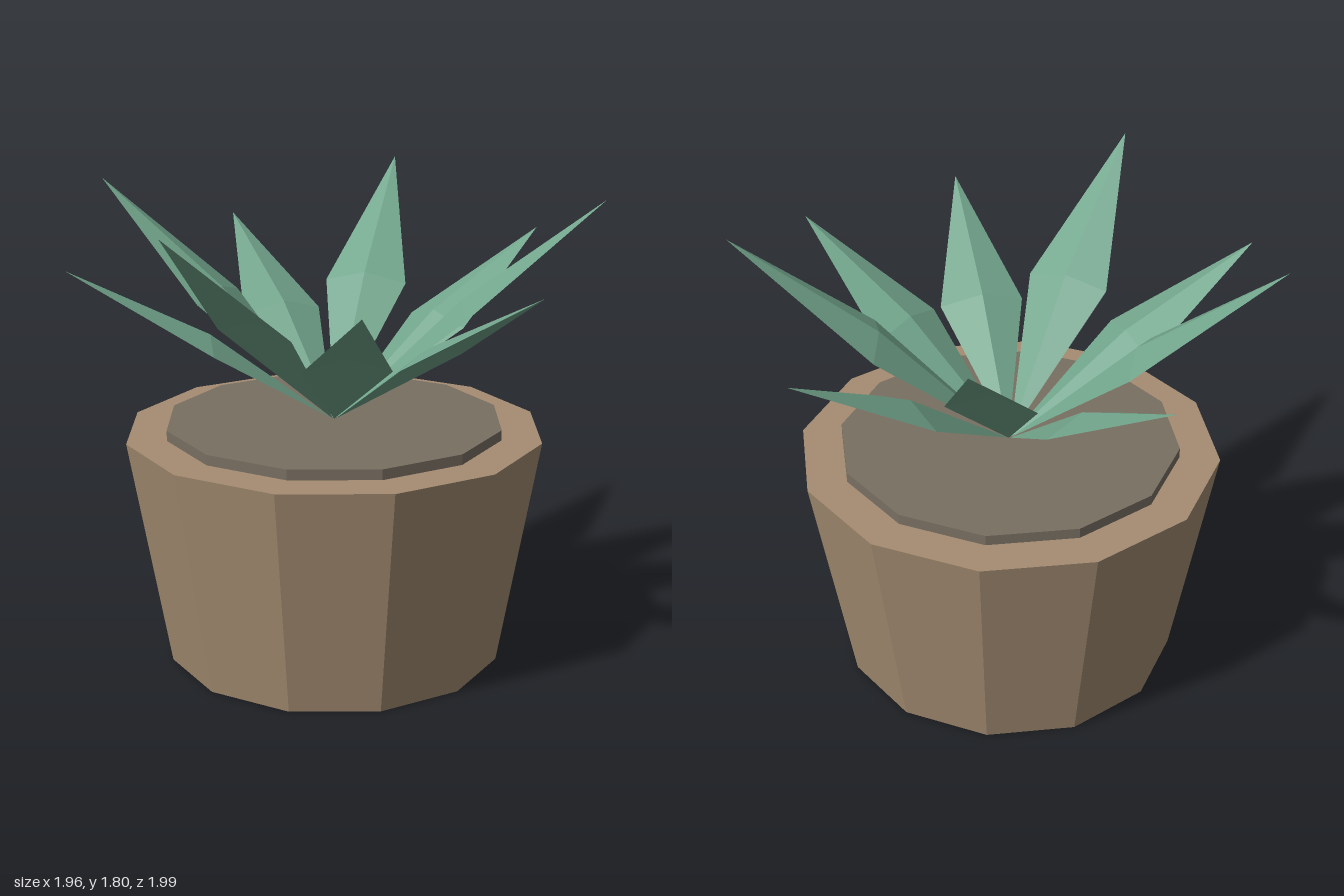
import * as THREE from 'three';

const LEAVES = 9;

function flatMesh(name, geometry, material) {
  const g = geometry.index ? geometry.toNonIndexed() : geometry;
  g.computeVertexNormals(); // unshared corners give flat facets
  const mesh = new THREE.Mesh(g, material);
  mesh.name = name;
  return mesh;
}

// A pointed leaf along +x: a diamond folded over a raised midrib
function leafGeometry(rise) {
  const base = [0.008, 0, 0];
  const left = [0.5, rise * 0.5, -0.165];
  const right = [0.5, rise * 0.5, 0.165];
  const rib = [0.48, rise * 0.48 + 0.06, 0];
  const tip = [1.01, rise, 0];
  const faces = [base, rib, left, base, right, rib, left, rib, tip, rib, right, tip];
  const g = new THREE.BufferGeometry();
  g.setAttribute('position', new THREE.Float32BufferAttribute(faces.flat(), 3));
  return g;
}

export function createModel() {
  const clay = new THREE.MeshStandardMaterial({ color: 0xa58d72 });
  clay.name = 'clay';
  const earth = new THREE.MeshStandardMaterial({ color: 0x796f62 });
  earth.name = 'earth';
  const green = new THREE.MeshStandardMaterial({ color: 0x72a58c, side: THREE.DoubleSide });
  green.name = 'leafGreen';

  const model = new THREE.Group();
  model.name = 'pottedSucculent';

  // Twelve-sided tapered pot
  const pot = flatMesh('pot', new THREE.CylinderGeometry(0.81, 0.655, 0.9, 12), clay);
  pot.position.y = 0.45;

  // Disc of soil standing just above the rim
  const soil = flatMesh('soil', new THREE.CylinderGeometry(0.655, 0.655, 0.08, 12), earth);
  soil.position.y = 0.9;

  // Rosette of leaves, alternately low and steep
  const rosette = new THREE.Group();
  rosette.name = 'rosette';
  rosette.position.y = 0.938;
  for (let i = 0; i < LEAVES; i++) {
    const leaf = flatMesh('leaf' + (i + 1), leafGeometry(i % 2 ? 0.865 : 0.637), green);
    leaf.rotation.y = (i / LEAVES) * Math.PI * 2;
    rosette.add(leaf);
  }

  model.add(pot, soil, rosette);
  model.position.x = -0.03;
  const root = new THREE.Group();
  root.add(model);
  return root;
}
